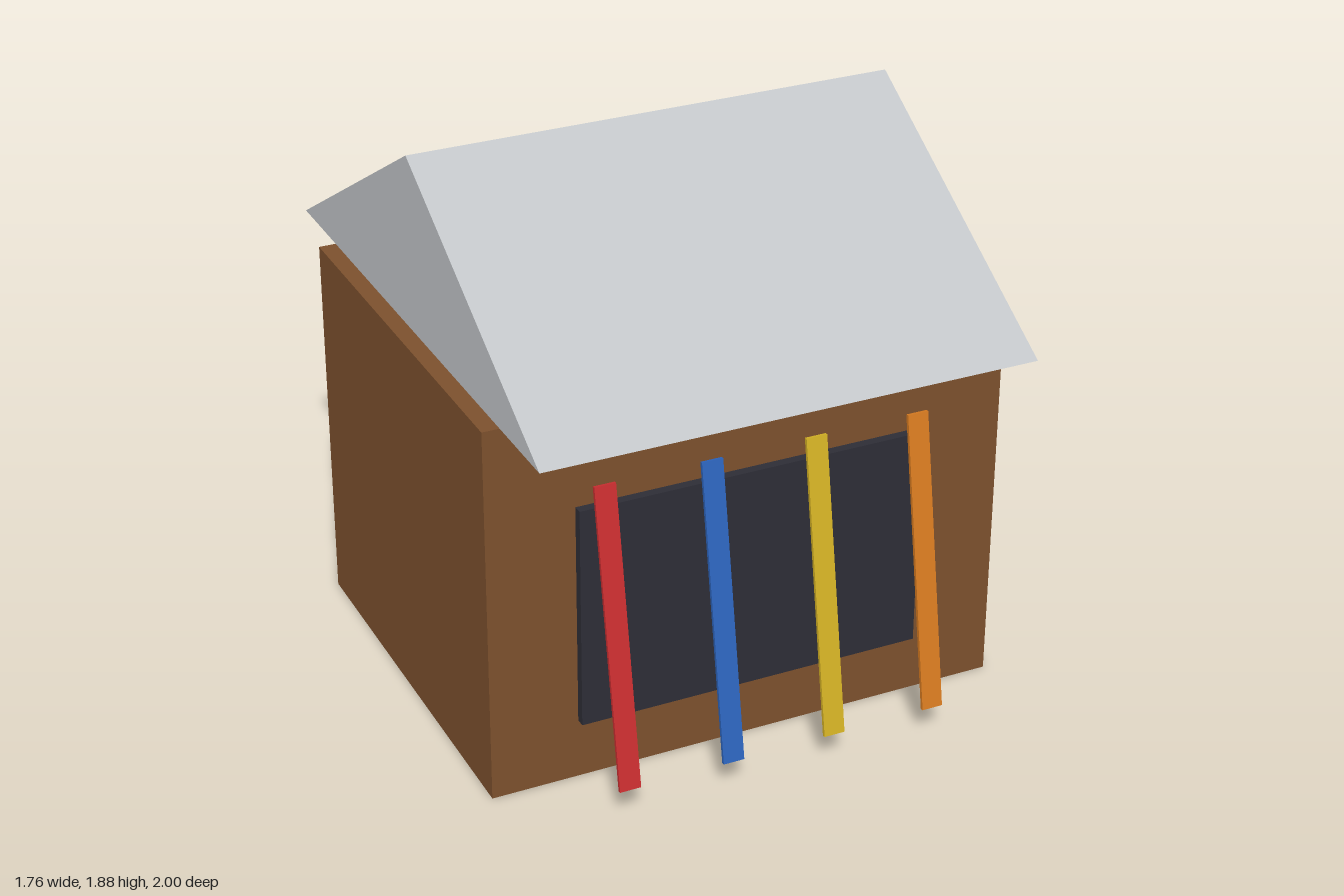
import * as THREE from 'three';

const paint = (name, color) => {
  const material = new THREE.MeshStandardMaterial({ color });
  material.name = name;
  return material;
};

export function createModel() {
  const group = new THREE.Group();
  group.name = 'shed';

  const add = (name, geometry, material, x, y, z) => {
    const mesh = new THREE.Mesh(geometry, material);
    mesh.name = name;
    mesh.position.set(x, y, z);
    group.add(mesh);
    return mesh;
  };

  // Walls
  const wallHeight = 1.295;
  add('walls', new THREE.BoxGeometry(1.765, wallHeight, 1.41), paint('brown wood', 0x7c502d), 0, wallHeight / 2, 0);

  // Gable roof: triangle in the z-y plane, swept along x
  const gable = new THREE.Shape([
    new THREE.Vector2(-1, 0),
    new THREE.Vector2(1, 0),
    new THREE.Vector2(0, 0.59),
  ]);
  const roofLength = 1.65;
  const roof = new THREE.ExtrudeGeometry(gable, { depth: roofLength, bevelEnabled: false });
  roof.translate(0, 0, -roofLength / 2).rotateY(Math.PI / 2);
  add('roof', roof, paint('light grey', 0xc1c5c8), 0, wallHeight, 0);

  // Dark opening panel on the front wall
  add('frontPanel', new THREE.BoxGeometry(1.176, 0.765, 0.06), paint('charcoal', 0x2d2d36), 0, 0.59, 0.706);

  // Coloured boards leaning towards the front wall
  const boardShape = new THREE.BoxGeometry(0.071, 1, 0.012);
  const boards = [['red', 0xc92e30], ['blue', 0x2c63bb], ['yellow', 0xd2b024], ['orange', 0xd67a20]];
  boards.forEach(([name, color], i) => {
    const board = add(`${name}Board`, boardShape, paint(name, color), -0.533 + i * 0.354, 0.592, 0.883);
    board.rotation.x = -0.173;
  });

  return group;
}
